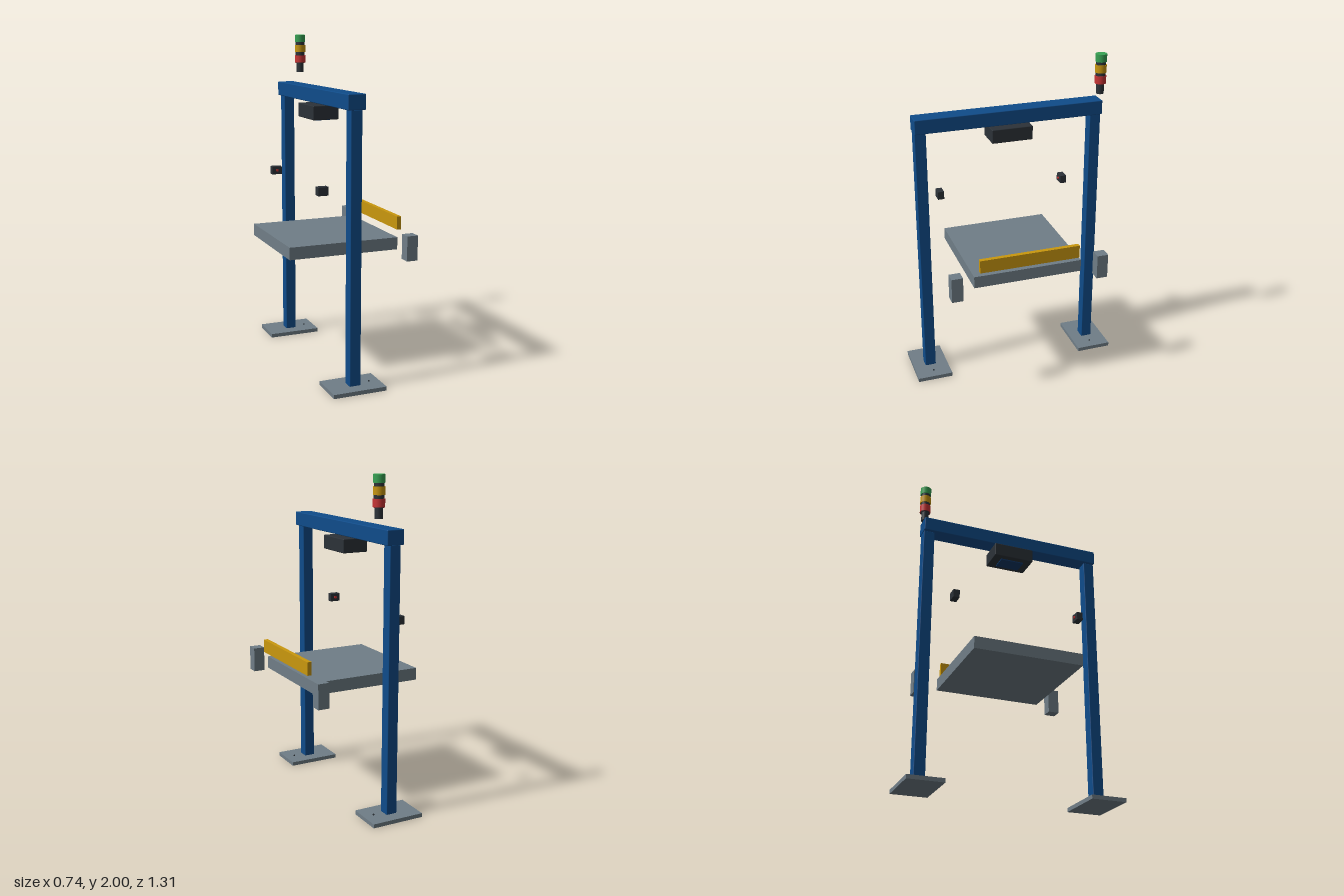
import * as THREE from 'three';
import { RoundedBoxGeometry } from 'three/addons/geometries/RoundedBoxGeometry.js';

export function createModel() {
  const model = new THREE.Group();
  model.name = 'inspectionGantry';

  const paint = (name, color) => {
    const m = new THREE.MeshStandardMaterial({ color });
    m.name = name;
    return m;
  };
  const blue = paint('frameBlue', 0x0f4c8a);
  const steel = paint('steelGrey', 0x707e87);
  const amber = paint('safetyAmber', 0xc9970e);
  const dark = paint('housingBlack', 0x2c3238);
  const green = paint('signalGreen', 0x37a253);
  const red = paint('signalRed', 0xc93434);
  const glass = paint('lensBlue', 0x0c3768);

  const add = (name, geometry, material, x, y, z) => {
    const mesh = new THREE.Mesh(geometry, material);
    mesh.name = name;
    mesh.position.set(x, y, z);
    model.add(mesh);
    return mesh;
  };
  // Box given by its limits; a bevel gives softened edges
  const block = (name, material, [x0, x1], [y0, y1], [z0, z1], bevel = 0) => {
    const size = [x1 - x0, y1 - y0, z1 - z0];
    const geometry = bevel
      ? new RoundedBoxGeometry(...size, 2, bevel)
      : new THREE.BoxGeometry(...size);
    return add(name, geometry, material, (x0 + x1) / 2, (y0 + y1) / 2, (z0 + z1) / 2);
  };
  const disc = (name, material, r, y0, y1, x, z) =>
    add(name, new THREE.CylinderGeometry(r, r, y1 - y0, 32), material, x, (y0 + y1) / 2, z);

  // Gantry and camera
  block('crossBeam', blue, [-0.118, -0.011], [1.612, 1.7], [-0.58, 0.58], 0.005);
  block('cameraHousing', dark, [-0.145, 0.017], [1.515, 1.6], [-0.126, 0.126], 0.005);
  block('cameraWindow', glass, [-0.112, -0.018], [1.508, 1.516], [-0.074, 0.074]);

  // Weighing table and its end stop
  block('platform', steel, [-0.373, 0.312], [0.743, 0.817], [-0.337, 0.337]);
  block('endStop', amber, [0.322, 0.349], [0.857, 0.937], [-0.31, 0.31]);

  // Parts on both sides
  for (const s of [-1, 1]) {
    const side = s > 0 ? 'Front' : 'Back';
    const span = (a, b) => (s > 0 ? [a, b] : [-b, -a]);
    block('footPlate' + side, steel, [-0.229, 0.1], [0, 0.024], span(0.435, 0.653));
    block('column' + side, blue, [-0.099, -0.031], [0.022, 1.614], span(0.51, 0.578), 0.004);
    disc('anchorBolt' + side, dark, 0.005, 0.02, 0.03, 0.037, s * 0.541);
    block('stopBracket' + side, steel, [0.301, 0.37], [0.705, 0.856], span(0.42, 0.489));
    block('sensor' + side, dark, [-0.23, -0.166], [1.12, 1.171], span(0.381, 0.421), 0.002);
    const lens = add('sensorLens' + side, new THREE.CylinderGeometry(0.009, 0.009, 0.006, 20),
      red, -0.198, 1.146, s * 0.379);
    lens.rotation.x = Math.PI / 2;
  }

  // Signal tower
  const tx = 0.024, tz = -0.543;
  disc('towerBase', dark, 0.023, 1.76, 1.826, tx, tz);
  disc('towerCore', dark, 0.029, 1.82, 1.96, tx, tz);
  [['redLamp', red, 1.823], ['amberLamp', amber, 1.889], ['greenLamp', green, 1.954]].forEach(
    ([name, material, y]) => disc(name, material, 0.034, y, y + 0.046, tx, tz));

  return model;
}
